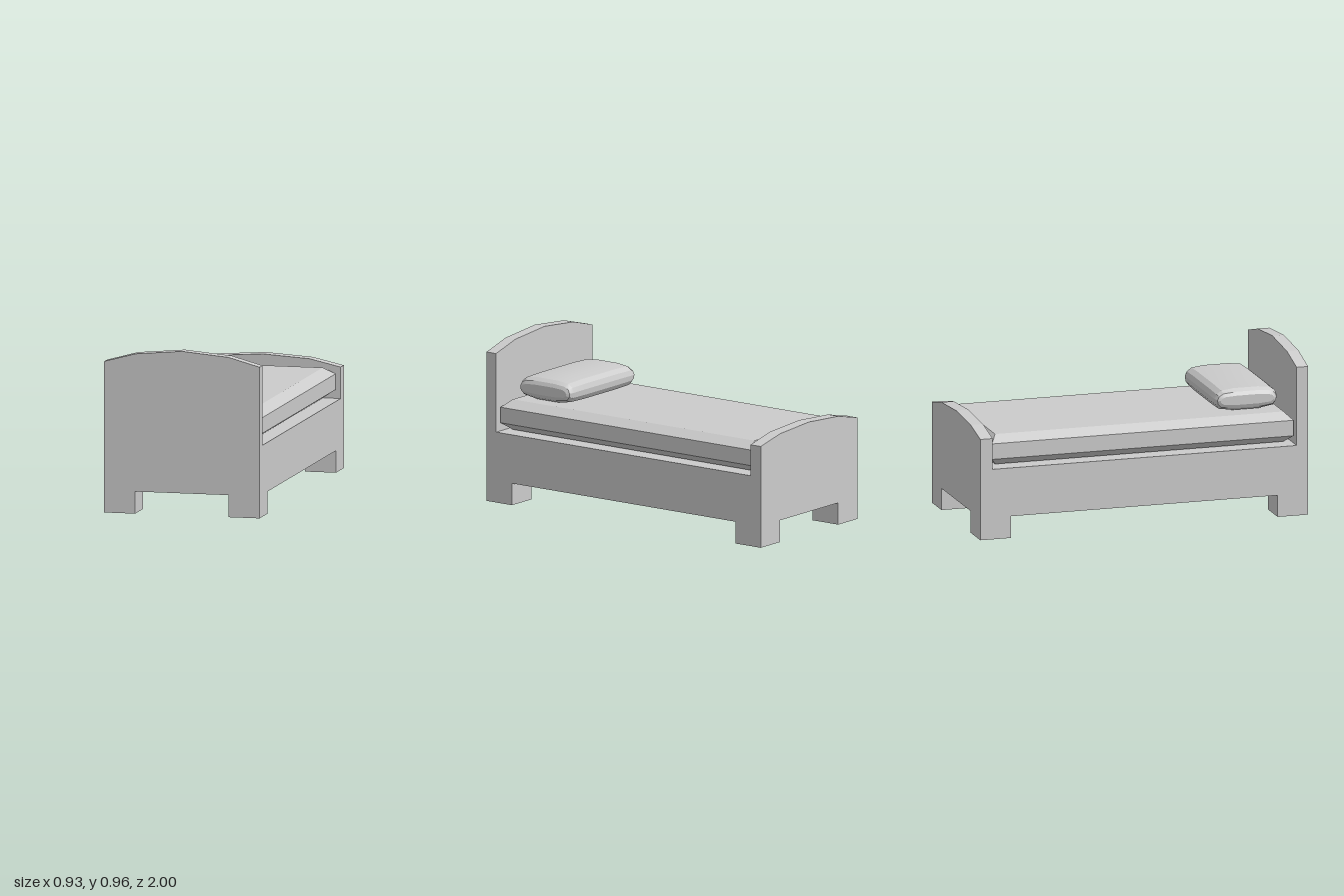
import * as THREE from 'three';
import { toCreasedNormals } from 'three/addons/utils/BufferGeometryUtils.js';

const W = 0.466, LEG = 0.186, CLEAR = 0.13, DECK = 0.42;
const HEAD_Z = 0.93, FOOT_Z = -0.925;

// Closed loft through loops of equal length, capped at both ends
function loft(loops) {
  const n = loops[0].length, index = [];
  for (let s = 0; s < loops.length - 1; s++) {
    for (let i = 0; i < n; i++) {
      const a = s * n + i, b = s * n + (i + 1) % n;
      index.push(a, b, a + n, b, b + n, a + n);
    }
  }
  const last = (loops.length - 1) * n;
  for (let i = 1; i < n - 1; i++) {
    index.push(0, i + 1, i, last, last + i, last + i + 1);
  }
  const g = new THREE.BufferGeometry();
  g.setAttribute('position', new THREE.Float32BufferAttribute(loops.flat(2), 3));
  g.setIndex(index);
  return g;
}

export function createModel() {
  const model = new THREE.Group();
  const flat = new THREE.MeshStandardMaterial({ color: 0xcccccc, flatShading: true });
  const smooth = new THREE.MeshStandardMaterial({ color: 0xcccccc });

  function add(name, geometry, material = flat) {
    const mesh = new THREE.Mesh(geometry, material);
    mesh.name = name;
    model.add(mesh);
    return mesh;
  }
  function addBox(name, x0, x1, y0, y1, z0, z1) {
    add(name, new THREE.BoxGeometry(x1 - x0, y1 - y0, z1 - z0))
      .position.set((x0 + x1) / 2, (y0 + y1) / 2, (z0 + z1) / 2);
  }

  // End boards: faceted arch on top, notch between the feet
  function addBoard(name, edge, shoulder, peak, z0, z1) {
    const k = W - LEG;
    const outline = [[-W, 0], [-k, 0], [-k, CLEAR], [k, CLEAR], [k, 0], [W, 0],
      [W, edge], [k, shoulder], [0, peak], [-k, shoulder], [-W, edge]];
    const shape = new THREE.Shape(outline.map(([x, y]) => new THREE.Vector2(x, y)));
    add(name, new THREE.ExtrudeGeometry(shape, { depth: z1 - z0, bevelEnabled: false }))
      .position.z = z0;
  }
  addBoard('headboard', 0.889, 0.94, 0.965, HEAD_Z, 1);
  addBoard('footboard', 0.605, 0.647, 0.665, -1, FOOT_Z);

  // Solid base between the boards, and the inner part of each leg
  addBox('bedBase', -W, W, CLEAR, DECK, FOOT_Z, HEAD_Z);
  for (const [side, x0, x1] of [['right', -W, LEG - W], ['left', W - LEG, W]]) {
    addBox(side + 'HeadLeg', x0, x1, 0, CLEAR, 1 - LEG, HEAD_Z);
    addBox(side + 'FootLeg', x0, x1, 0, CLEAR, FOOT_Z, LEG - 1);
  }

  // Mattress: rectangular slab chamfered above and below
  const slab = [[0.37, 0.88, 0.425], [0.437, 0.92, 0.472], [0.437, 0.92, 0.565], [0.37, 0.88, 0.605]];
  add('mattress', loft(slab.map(([x, z, y]) => [[-x, y, z], [x, y, z], [x, y, -z], [-x, y, -z]])));

  // Pillow: rounded section swept along x, pinched at the ends
  const half = [[0.075, 0.07], [0.15, 0.06], [0.178, 0.038], [0.189, 0.008],
    [0.186, -0.025], [0.165, -0.055], [0.08, -0.07]];
  const section = [...half, ...half.map(([z, y]) => [-z, y]).reverse()];
  const stations = [[-0.322, 0.86, 0.4], [-0.312, 0.95, 0.7], [-0.285, 1, 0.93], [-0.16, 1, 1],
    [0.16, 1, 1], [0.285, 1, 0.93], [0.312, 0.95, 0.7], [0.322, 0.86, 0.4]];
  const pillow = loft(stations.map(([x, sz, sy]) => section.map(([z, y]) => [x, y * sy, z * sz])));
  // The section runs clockwise seen from +x, so flip the corner order if needed
  const p = pillow.index.array, v = pillow.attributes.position;
  const corner = i => new THREE.Vector3().fromBufferAttribute(v, p[i]);
  const facing = new THREE.Triangle(corner(0), corner(1), corner(2)).getNormal(new THREE.Vector3());
  if (facing.dot(corner(0).setX(0)) < 0) {
    for (let i = 0; i < p.length; i += 3) [p[i], p[i + 1]] = [p[i + 1], p[i]];
  }
  add('pillow', toCreasedNormals(pillow, 0.4), smooth).position.set(0.013, 0.677, 0.68);

  return model;
}
